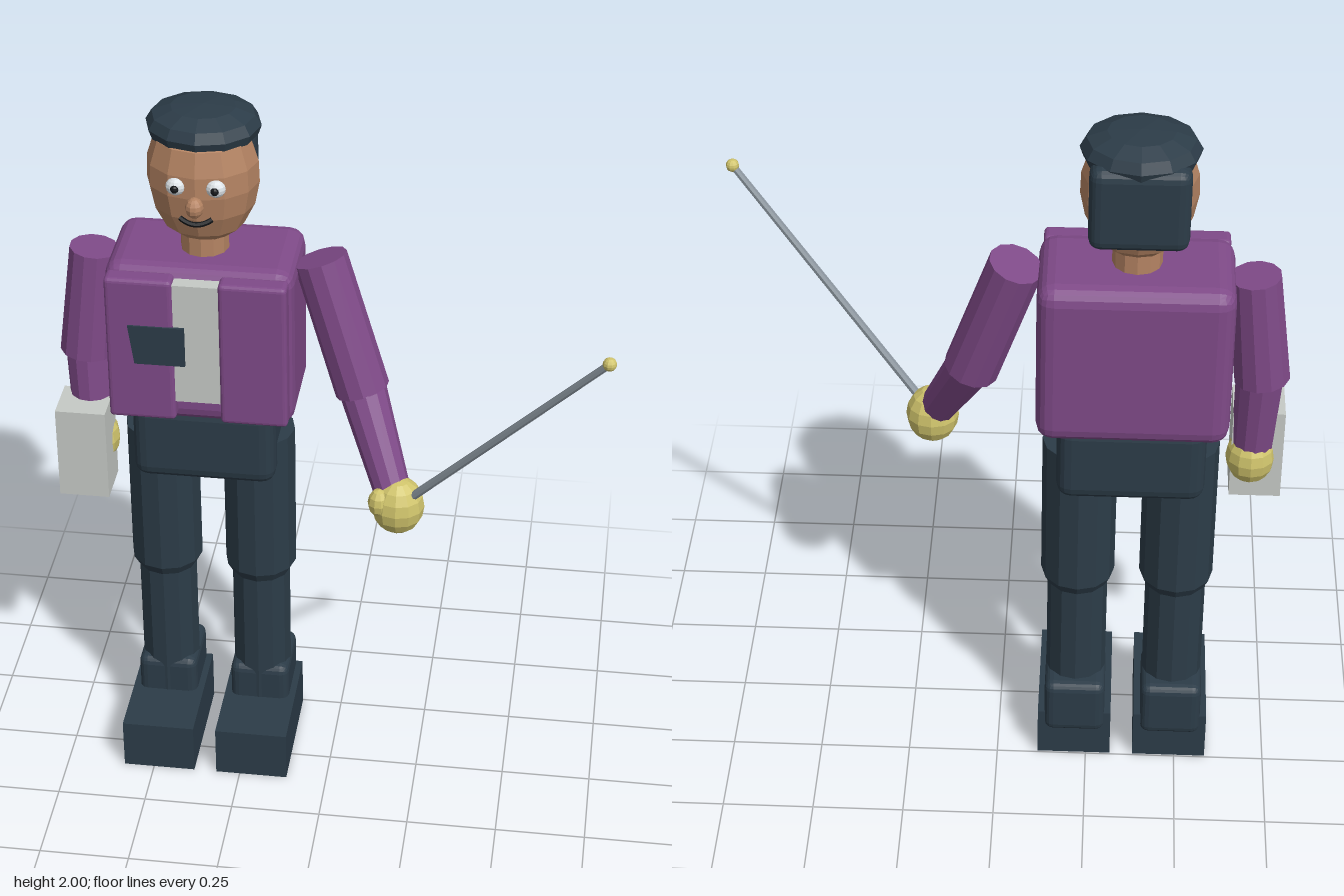
import * as THREE from 'three';
import { RoundedBoxGeometry } from 'three/addons/geometries/RoundedBoxGeometry.js';

const material = (name, color) => {
  const m = new THREE.MeshStandardMaterial({ color, flatShading: true });
  m.name = name;
  return m;
};

export function createModel() {
  const model = new THREE.Group();
  model.name = 'figure';
  const navy = material('navy', 0x2c3c48);
  const purple = material('purple', 0x7f4a88);
  const skin = material('skin', 0xb58463);
  const pale = material('pale grey', 0xc6cac6);
  const yellow = material('yellow', 0xd0c46c);
  const steel = material('steel', 0x87919a);
  const white = material('eye white', 0xe4eaee);
  const black = material('black', 0x14171a);

  const add = (name, geometry, mat, x = 0, y = 0, z = 0) => {
    const mesh = new THREE.Mesh(geometry, mat);
    mesh.name = name;
    mesh.position.set(x, y, z);
    model.add(mesh);
    return mesh;
  };
  // Box given by its limits on each axis; r rounds the edges
  const box = (name, mat, [x0, x1], [y0, y1], [z0, z1], r = 0) => {
    const size = [x1 - x0, y1 - y0, z1 - z0];
    const g = r ? new RoundedBoxGeometry(...size, 2, r) : new THREE.BoxGeometry(...size);
    return add(name, g, mat, (x0 + x1) / 2, (y0 + y1) / 2, (z0 + z1) / 2);
  };
  const ball = (name, mat, [x, y, z], [rx, ry, rz], w = 12, h = 8) =>
    add(name, new THREE.SphereGeometry(1, w, h).scale(rx, ry, rz), mat, x, y, z);
  // Tapered rod between two points
  const limb = (name, mat, from, to, r0, r1, sides = 12) => {
    const a = new THREE.Vector3(...from), b = new THREE.Vector3(...to);
    const axis = b.clone().sub(a);
    const mesh = add(name, new THREE.CylinderGeometry(r1, r0, axis.length(), sides), mat);
    mesh.position.copy(a).add(b).multiplyScalar(0.5);
    mesh.quaternion.setFromUnitVectors(new THREE.Vector3(0, 1, 0), axis.normalize());
    return mesh;
  };
  const lathe = (name, mat, profile, x, z, depth = 1, sides = 12) =>
    add(name, new THREE.LatheGeometry(profile.map(p => new THREE.Vector2(...p)), sides)
      .scale(1, 1, depth), mat, x, 0, z);

  const cx = -0.35; // body centre line

  // Torso and pelvis
  box('jacket', purple, [-0.6, -0.1], [1.13, 1.6], [-0.3, 0], 0.045);
  box('pelvis', navy, [-0.545, -0.155], [0.93, 1.17], [-0.28, -0.01], 0.04);
  for (const s of [-1, 1]) {
    const x = cx + s * 0.15;
    box('jacketFront', purple, [x - 0.09, x + 0.09], [1.16, 1.585], [-0.02, 0.038], 0.012);
  }
  box('shirt', pale, [-0.41, -0.29], [1.22, 1.575], [-0.02, 0.034]);
  const patch = new THREE.Shape([[-0.53, 1.45], [-0.515, 1.335], [-0.38, 1.335], [-0.38, 1.45]]
    .map(p => new THREE.Vector2(...p)));
  add('chestPocket', new THREE.ExtrudeGeometry(patch, { depth: 0.008, bevelEnabled: false }),
    navy, 0, 0, 0.035);

  // Legs and shoes
  for (const s of [-1, 1]) {
    const x = cx + s * 0.134;
    lathe('thigh', navy, [[0, 0.57], [0.084, 0.57], [0.1, 0.6], [0.1, 1.04], [0, 1.04]], x, -0.145);
    limb('shin', navy, [x, 0.15, -0.145], [x, 0.59, -0.145], 0.082, 0.082);
    box('ankle', navy, [x - 0.084, x + 0.084], [0.09, 0.26], [-0.26, -0.065], 0.025);
    box('shoe', navy, [x - 0.102, x + 0.102], [0, 0.15], [-0.245, 0.105]);
  }

  // Head, hair and cap
  limb('neck', skin, [cx, 1.57, -0.143], [cx, 1.68, -0.143], 0.064, 0.064);
  lathe('head', skin, [[0, 1.635], [0.062, 1.642], [0.105, 1.675], [0.135, 1.735],
    [0.148, 1.8], [0.146, 1.86], [0.125, 1.925], [0, 1.97]], cx, -0.143, 0.85);
  lathe('cap', navy, [[0, 1.9], [0.105, 1.903], [0.142, 1.922], [0.151, 1.948],
    [0.135, 1.975], [0.085, 1.994], [0, 2]], cx, -0.17, 0.9);
  box('backHair', navy, [-0.475, -0.225], [1.72, 1.95], [-0.3, -0.215], 0.03);

  // Face
  for (const s of [-1, 1]) {
    const x = cx + s * 0.052;
    ball('eye', white, [x, 1.832, -0.03], [0.026, 0.024, 0.02]);
    ball('pupil', black, [x, 1.832, -0.012], [0.011, 0.011, 0.008], 8, 6);
  }
  ball('nose', skin, [cx, 1.787, -0.004], [0.024, 0.028, 0.026], 10, 8);
  const smile = new THREE.QuadraticBezierCurve3(new THREE.Vector3(-0.042, 0.007, -0.01),
    new THREE.Vector3(0, -0.02, 0.008), new THREE.Vector3(0.042, 0.007, -0.01));
  add('mouth', new THREE.TubeGeometry(smile, 10, 0.007, 6), black, cx, 1.738, -0.014);

  // Raised left arm with baton
  limb('leftUpperArm', purple, [-0.045, 1.583, -0.145], [0.075, 1.22, -0.09], 0.072, 0.074);
  limb('leftForearm', purple, [0.065, 1.25, -0.1], [0.172, 0.995, 0.045], 0.066, 0.05);
  ball('leftHand', yellow, [0.19, 0.957, 0.06], [0.072, 0.083, 0.068]);
  ball('leftThumb', yellow, [0.142, 0.98, 0.09], [0.03, 0.042, 0.03], 10, 6);
  limb('baton', steel, [0.2, 0.965, 0.068], [0.73, 1.588, 0.29], 0.012, 0.01, 8);
  ball('batonTip', yellow, [0.73, 1.588, 0.29], [0.018, 0.018, 0.018], 10, 8);

  // Lowered right arm with box
  limb('rightUpperArm', purple, [-0.65, 1.57, -0.15], [-0.682, 1.255, -0.145], 0.066, 0.074);
  limb('rightForearm', purple, [-0.678, 1.29, -0.145], [-0.67, 1.01, -0.12], 0.064, 0.055);
  ball('rightHand', yellow, [-0.667, 0.985, -0.125], [0.066, 0.08, 0.066]);
  box('carriedBox', pale, [-0.752, -0.615], [0.86, 1.13], [-0.14, -0.01]);

  return model;
}
